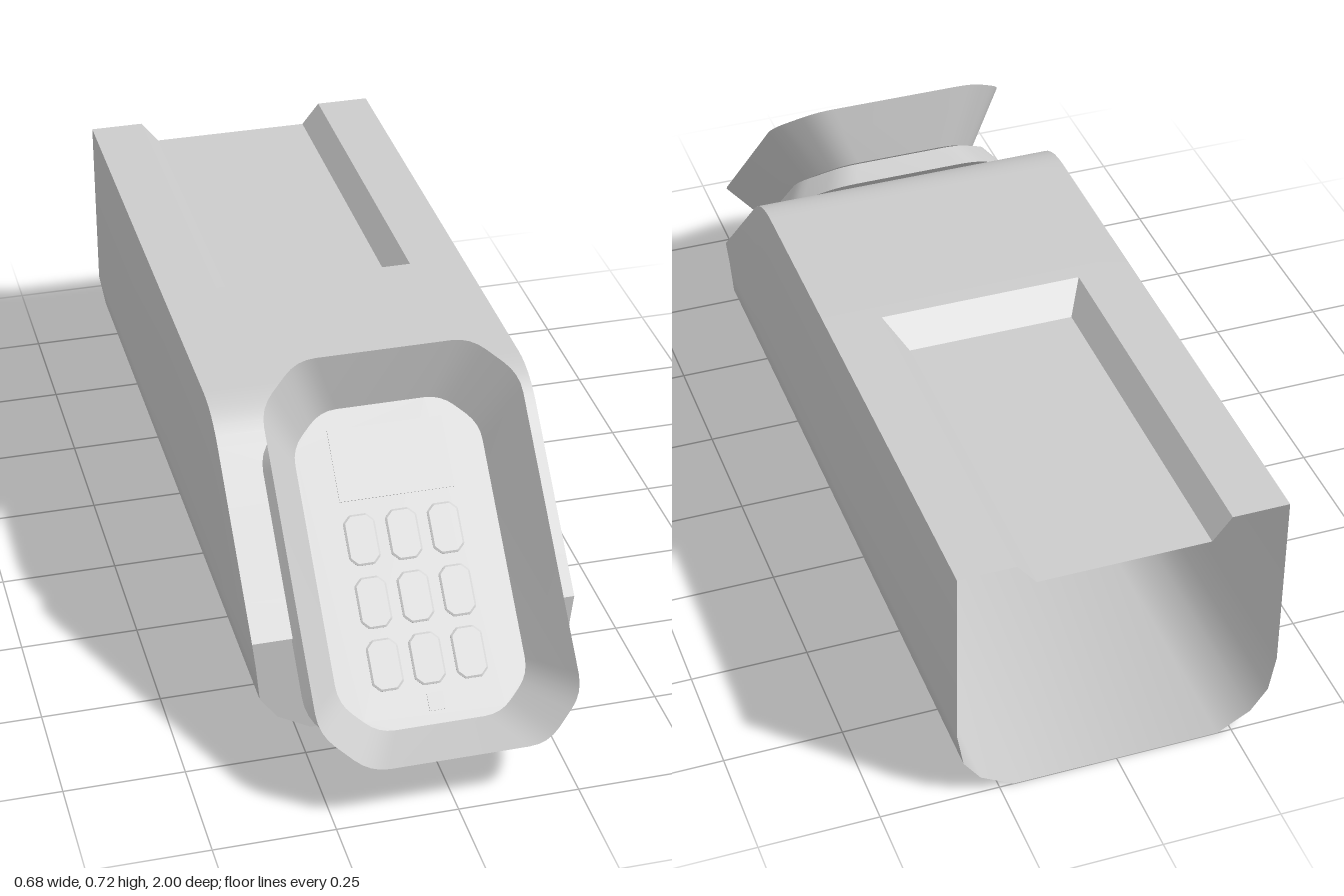
import * as THREE from 'three';
import { toCreasedNormals } from 'three/addons/utils/BufferGeometryUtils.js';

const material = new THREE.MeshStandardMaterial({ color: 0xcccccc, side: THREE.DoubleSide });

function addMesh(parent, name, geometry) {
  const mesh = new THREE.Mesh(geometry, material);
  mesh.name = name;
  parent.add(mesh);
  return mesh;
}

// Surface through rows of [x, y, z] points
function grid(rows) {
  const n = rows[0].length, index = [];
  for (let i = 0; i < rows.length - 1; i++) {
    for (let j = 0; j < n - 1; j++) {
      const a = i * n + j, b = a + n;
      index.push(a, b, b + 1, a, b + 1, a + 1);
    }
  }
  const geometry = new THREE.BufferGeometry();
  geometry.setAttribute('position', new THREE.Float32BufferAttribute(rows.flat(2), 3));
  geometry.setIndex(index);
  return toCreasedNormals(geometry, 0.6);
}

// Rectangle with chamfered corners whose edges are eased by small curves
function outline(hw, hh, c, ease) {
  const corners = [
    [hw, -hh + c], [hw, hh - c], [hw - c, hh], [-hw + c, hh],
    [-hw, hh - c], [-hw, -hh + c], [-hw + c, -hh], [hw - c, -hh],
  ].map(([x, y]) => new THREE.Vector2(x, y));
  const points = [];
  corners.forEach((p, i) => {
    const before = corners[(i + 7) % 8], after = corners[(i + 1) % 8];
    const toward = (q) => p.clone().add(q.clone().sub(p).setLength(ease));
    points.push(...new THREE.QuadraticBezierCurve(toward(before), p, toward(after)).getPoints(4));
  });
  return points;
}

const ring = (points, z) => [...points, points[0]].map((p) => [p.x, p.y, z]);
const cap = (points) => new THREE.ShapeGeometry(new THREE.Shape(points));

function createBody() {
  const body = new THREE.Group();
  body.name = 'body';
  const top = 0.575, half = 0.34, depth = 0.05, grooveEnd = -0.17, floorEnd = -0.235;

  // Height of the top edge along the length: level, rounded, then sloping down
  const bend = new THREE.QuadraticBezierCurve(
    new THREE.Vector2(0.25, top), new THREE.Vector2(0.325, top), new THREE.Vector2(0.38, 0.52),
  ).getPoints(6).map((p) => [p.x, p.y]);
  const stations = [[grooveEnd, top], ...bend, [0.61, 0.29], [0.67, 0.23]];

  // Side walls and belly, slightly pinched at the front corners
  const section = ([z, y]) => {
    const side = [[half, y], [z > 0.65 ? 0.333 : half, 0.17], [0.326, 0.09], [0.29, 0.04], [0.22, 0]];
    const mirrored = side.map(([x, h]) => [-x, h]).reverse();
    return [...side, ...mirrored].map(([x, h]) => [x, h, z]);
  };
  addMesh(body, 'sidesAndBelly', grid([[-1, top], ...stations].map(section)));
  addMesh(body, 'topAndSlope', grid(stations.map(([z, y]) => [[-half, y, z], [half, y, z]])));

  // Flat nose
  const nose = section([0.67, 0.23]).map(([x, y]) => new THREE.Vector2(x, y));
  addMesh(body, 'nose', cap(nose)).position.z = 0.67;

  // Sunken channel in the rear of the top, open at the back
  const channel = (zTop, zFloor) => [
    [-half, top, zTop], [-0.22, top, zTop], [-0.18, top - depth, zFloor],
    [0.18, top - depth, zFloor], [0.22, top, zTop], [half, top, zTop],
  ];
  const end = channel(grooveEnd, floorEnd);
  addMesh(body, 'channel', grid([channel(-1, -1), end]));
  addMesh(body, 'channelEnd', grid([[end[2], end[3]], [end[1], end[4]]]));
  return body;
}

function createKeypad() {
  const keypad = new THREE.Group();
  keypad.name = 'keypad';
  const panelZ = 0.053;

  // Backing plate with bevelled sides
  const back = outline(0.258, 0.375, 0.1, 0.04);
  const front = outline(0.225, 0.348, 0.09, 0.035);
  addMesh(keypad, 'plateSides', grid([ring(front, 0.048), ring(back, 0)]));
  addMesh(keypad, 'plateFront', cap(front)).position.z = 0.048;
  addMesh(keypad, 'plateBack', cap([...back].reverse()));

  // Face panel and flared hood
  const inner = outline(0.198, 0.333, 0.07, 0.035);
  const outer = outline(0.27, 0.418, 0.088, 0.04);
  addMesh(keypad, 'panel', cap(inner)).position.z = panelZ;
  addMesh(keypad, 'hood', grid([ring(outer, 0.166), ring(inner, panelZ)]));

  // Display and small slot, almost flush with the panel
  for (const [name, w, h, y] of [['display', 0.243, 0.15, 0.215], ['slot', 0.033, 0.036, -0.288]]) {
    addMesh(keypad, name, new THREE.BoxGeometry(w, h, 0.004)).position.set(0, y, panelZ);
  }

  // Nine chamfered keys
  const keyShape = new THREE.Shape(outline(0.029, 0.049, 0.013, 0.002));
  const keyGeometry = new THREE.ExtrudeGeometry(keyShape, {
    depth: 0.001, bevelThickness: 0.002, bevelSize: 0.004, bevelSegments: 1,
  });
  for (const x of [-0.09, -0.002, 0.086]) {
    for (const y of [0.058, -0.072, -0.2]) {
      addMesh(keypad, 'key', keyGeometry).position.set(x, y, panelZ);
    }
  }

  keypad.rotation.x = -Math.PI / 4;
  keypad.position.set(0, 0.308, 0.588);
  return keypad;
}

export function createModel() {
  const model = new THREE.Group();
  model.name = 'keypadHousing';
  model.add(createBody(), createKeypad());
  return model;
}
